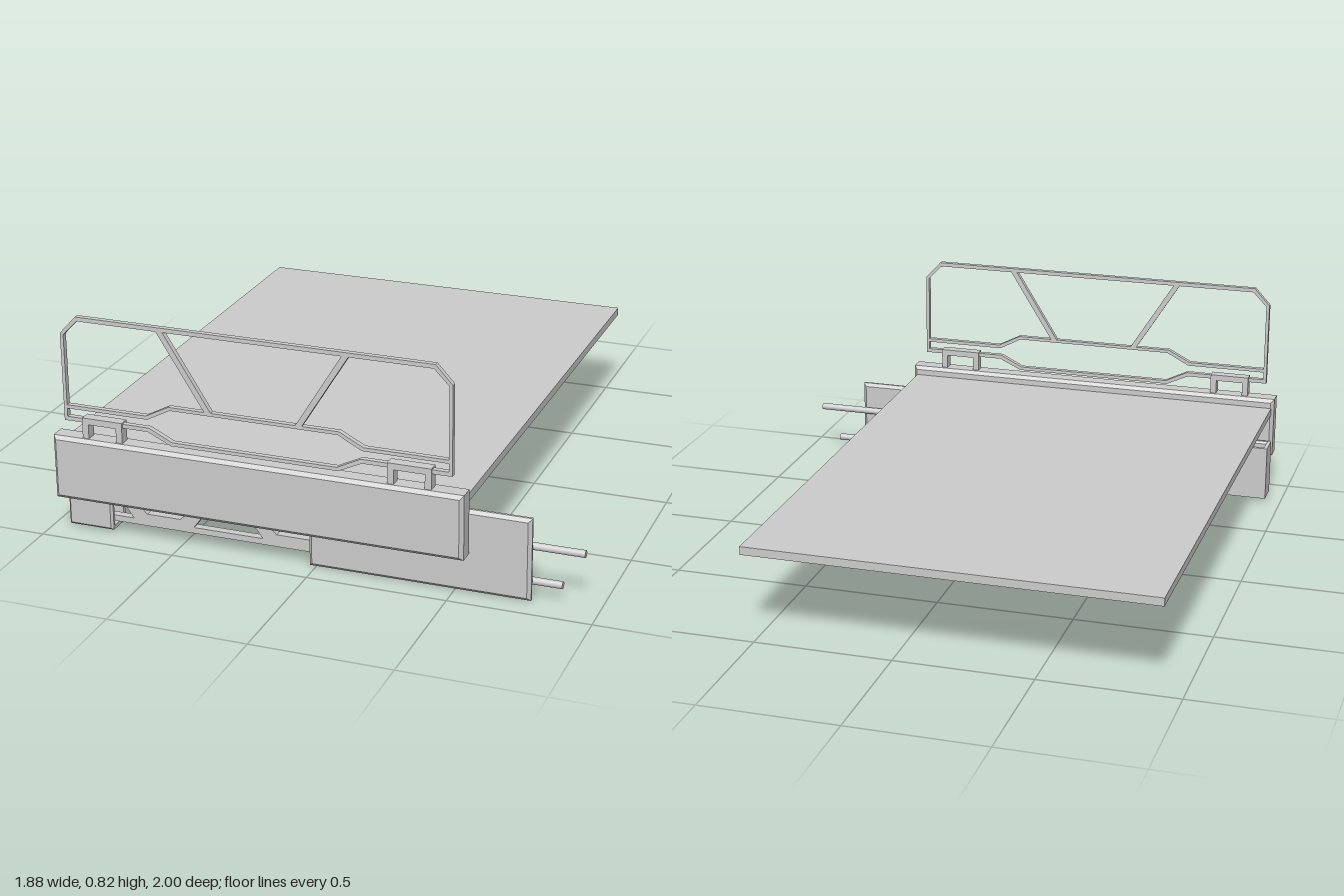
import * as THREE from 'three';

const mat = new THREE.MeshStandardMaterial({ color: 0xcccccc, side: THREE.DoubleSide });

const outline = (points, Type = THREE.Shape) => new Type(points.map(([x, y]) => new THREE.Vector2(x, y)));

export function createModel() {
  const model = new THREE.Group();

  function add(name, geometry) {
    const mesh = new THREE.Mesh(geometry, mat);
    mesh.name = name;
    model.add(mesh);
    return mesh;
  }

  // Flat part cut from an outline with holes, spanning z0 to z1
  function cutout(name, points, holes, z0, z1) {
    const shape = outline(points);
    shape.holes = holes.map(h => outline(h, THREE.Path));
    const geo = new THREE.ExtrudeGeometry(shape, { depth: z1 - z0, bevelEnabled: false });
    return add(name, geo.translate(0, 0, z0));
  }

  function box(name, x0, x1, y0, y1, z0, z1) {
    const geo = new THREE.BoxGeometry(x1 - x0, y1 - y0, z1 - z0);
    return add(name, geo.translate((x0 + x1) / 2, (y0 + y1) / 2, (z0 + z1) / 2));
  }

  // Box with chamfered edges
  function chamferBox(name, x0, x1, y0, y1, z0, z1, b) {
    const shape = outline([[x0 + b, y0 + b], [x1 - b, y0 + b], [x1 - b, y1 - b], [x0 + b, y1 - b]]);
    const geo = new THREE.ExtrudeGeometry(shape, {
      depth: z1 - z0 - 2 * b, bevelThickness: b, bevelSize: b, bevelSegments: 1,
    });
    return add(name, geo.translate(0, 0, z0 + b));
  }

  // Deck and front beam
  box('deck', -0.93, 0.54, 0.32, 0.35, -1, 0.925);
  chamferBox('frontBeam', -0.94, 0.555, 0.15, 0.385, 0.92, 1, 0.013);

  // Guard frame: outer loop, double lower rail and two slanted struts
  cutout('guardFrame', [
    [-0.9, 0.44], [-0.585, 0.44], [-0.5, 0.4], [0.11, 0.4], [0.195, 0.44], [0.51, 0.44],
    [0.51, 0.76], [0.45, 0.825], [-0.84, 0.825], [-0.9, 0.76],
  ], [
    [[-0.888, 0.455], [-0.58, 0.455], [-0.495, 0.413], [0.105, 0.413], [0.19, 0.455], [0.498, 0.455],
      [0.498, 0.485], [0.195, 0.485], [0.11, 0.53], [-0.5, 0.53], [-0.585, 0.485], [-0.888, 0.485]],
    [[-0.888, 0.498], [-0.59, 0.498], [-0.505, 0.542], [-0.372, 0.542], [-0.54, 0.81],
      [-0.835, 0.81], [-0.888, 0.755]],
    [[-0.348, 0.542], [-0.042, 0.542], [0.126, 0.81], [-0.516, 0.81]],
    [[-0.018, 0.542], [0.115, 0.542], [0.2, 0.498], [0.498, 0.498], [0.498, 0.755],
      [0.445, 0.81], [0.15, 0.81]],
  ], 0.955, 0.975);

  // Arched brackets holding the guard
  for (const [x0, x1] of [[-0.83, -0.68], [0.285, 0.44]]) {
    cutout('guardBracket', [
      [x0, 0.38], [x0 + 0.023, 0.38], [x0 + 0.023, 0.437], [x1 - 0.023, 0.437],
      [x1 - 0.023, 0.38], [x1, 0.38], [x1, 0.46], [x0, 0.46],
    ], [], 0.943, 0.982);
  }

  // Truss rail: alternating trapezoid openings, clipped at the ends
  const wide = [-0.335, 0.155].map(c =>
    [[c - 0.13, 0.062], [c + 0.13, 0.062], [c + 0.04, 0.185], [c - 0.04, 0.185]]);
  const inverted = [-0.58, -0.09, 0.4].map(c =>
    [[c - 0.063, 0.085], [c + 0.063, 0.085], [c + 0.165, 0.185], [c - 0.165, 0.185]]);
  cutout('trussRail',
    [[-0.87, 0.04], [0.65, 0.04], [0.65, 0.205], [-0.87, 0.205]],
    [...wide, ...inverted,
      [[-0.82, 0.062], [-0.695, 0.062], [-0.785, 0.185], [-0.82, 0.185]],
      [[0.515, 0.062], [0.625, 0.062], [0.625, 0.185], [0.605, 0.185]],
    ], 0.86, 0.89);

  // Side plate in front of the truss
  chamferBox('sidePlate', -0.025, 0.765, 0, 0.3, 0.885, 0.918, 0.012);

  // Hollow end foot, open at the top and on the rail side
  const wall = 0.014;
  chamferBox('footFront', -0.94, -0.77, 0.01, 0.22, 0.885, 0.91, 0.008);
  box('footBack', -0.94, -0.77, 0.01, 0.22, 0.81, 0.81 + wall);
  box('footOuterWall', -0.94, -0.94 + wall, 0.01, 0.22, 0.81, 0.9);
  box('footFloor', -0.94, -0.77, 0.01, 0.01 + wall, 0.81, 0.9);

  // Rods projecting from the end
  for (const [y, end] of [[0.187, 0.94], [0.06, 0.865]]) {
    const start = 0.6;
    const geo = new THREE.CylinderGeometry(0.013, 0.013, end - start, 16);
    add('rod', geo.rotateZ(Math.PI / 2).translate((start + end) / 2, y, 0.875));
  }

  return model;
}
